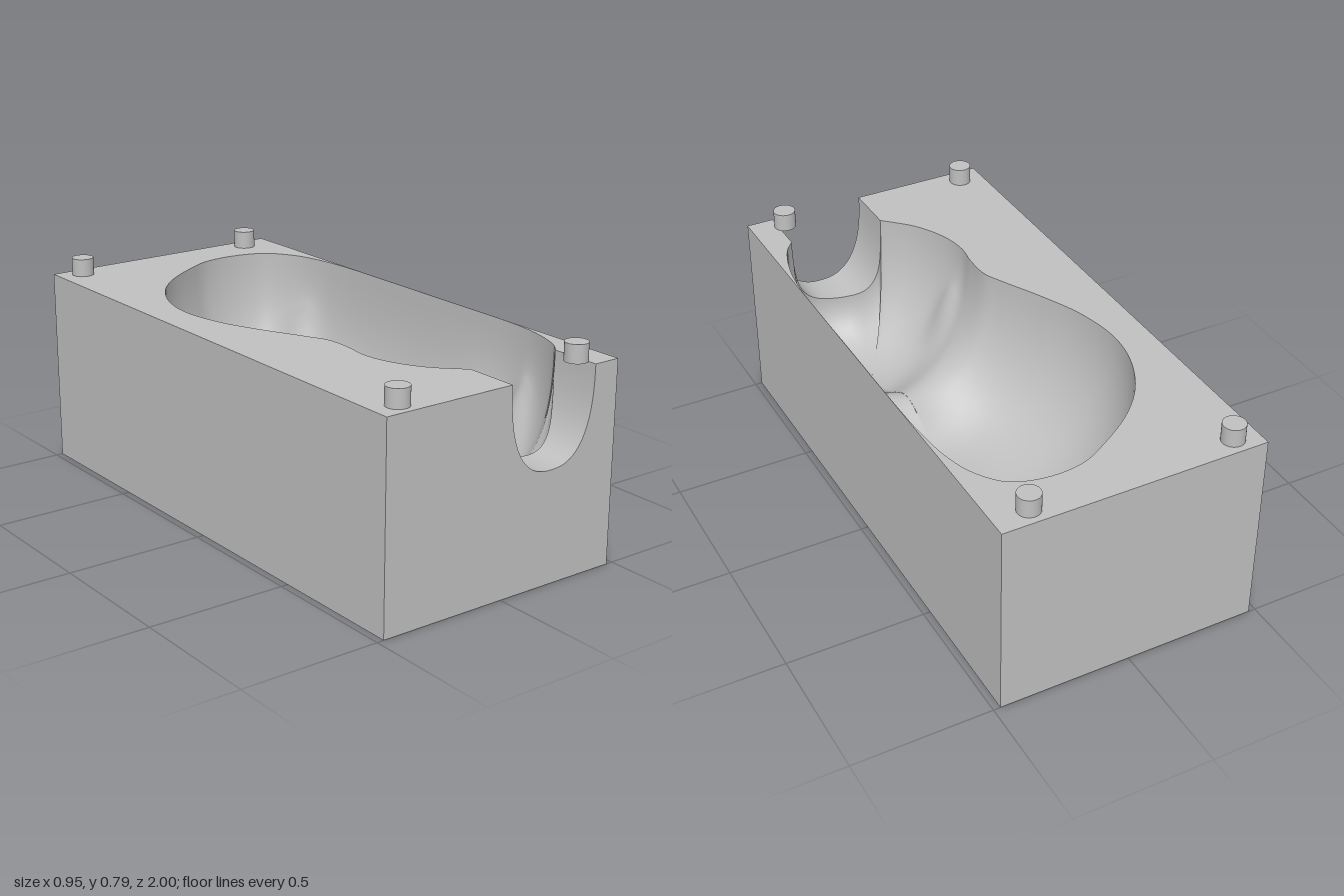
import * as THREE from 'three';
import { mergeVertices } from 'three/addons/utils/BufferGeometryUtils.js';

const W = 0.475, TOP = 0.72, L = 1;
const V = (x, y, z) => new THREE.Vector3(x, y, z);
const clamp = THREE.MathUtils.clamp;
const spline = (pts) => new THREE.CatmullRomCurve3(pts.map(([x, z]) => V(x, TOP, z)));

// Smooth skin over rows of points
function skin(rows) {
  const n = rows[0].length, pos = [], index = [];
  rows.forEach((row) => row.forEach((p) => pos.push(p.x, p.y, p.z)));
  for (let i = 0; i < rows.length - 1; i++) {
    for (let j = 0; j < n - 1; j++) {
      const a = i * n + j, d = a + n;
      index.push(a, d + 1, a + 1, a, d, d + 1);
    }
  }
  let g = new THREE.BufferGeometry();
  g.setAttribute('position', new THREE.Float32BufferAttribute(pos, 3));
  g.setIndex(index);
  g = mergeVertices(g);
  g.computeVertexNormals();
  return g;
}

// Height of the pouring channel at a given x
function channelY(x) {
  const u = clamp(Math.abs((x - 0.1975) / 0.1775), 0, 1);
  return TOP - 0.32 * Math.pow(1 - Math.pow(u, 2.5), 1 / 2.5);
}

// Rim of the cavity, from the channel's left edge round the back to its right edge
const rimCurve = spline([
  [0.02, 0.805], [-0.08, 0.7], [-0.14, 0.58], [-0.157, 0.48], [-0.147, 0.39],
  [-0.15, 0.29], [-0.18, 0.22], [-0.26, 0.06], [-0.325, -0.1], [-0.352, -0.27],
  [-0.33, -0.41], [-0.26, -0.555], [-0.155, -0.67], [0, -0.775], [0.08, -0.815],
  [0.17, -0.83], [0.27, -0.82], [0.35, -0.785], [0.42, -0.69], [0.453, -0.58],
  [0.468, -0.45], [0.473, -0.3], [0.473, 0.1], [0.472, 0.5], [0.45, 0.66],
  [0.41, 0.77], [0.375, 0.815],
]);
// Where the cavity breaks into the channel, right to left
const mouthCurve = spline([
  [0.375, 0.815], [0.33, 0.85], [0.27, 0.866], [0.16, 0.84],
  [0.08, 0.793], [0.045, 0.787], [0.02, 0.805],
]);

// Depth of the cavity floor along its spine: body, shallow neck, head
const floorY = (z) => 0.17 + 0.12 * Math.exp(-(((z - 0.27) / 0.13) ** 2))
  + 0.04 * THREE.MathUtils.smoothstep(z, 0.2, 0.5)
  + 0.04 * THREE.MathUtils.smoothstep(-z, 0.15, 0.5);

// Small swellings on the cavity walls: x, z, radius, height
const bumps = [[-0.1, 0.5, 0.06, 0.06], [0.41, 0.6, 0.06, 0.1], [0.39, -0.62, 0.08, 0.08]];

function cavityRow(p) {
  const t = (p.z + 0.83) / 1.695, sz = -0.5 + 1.1 * t, sx = 0.12 + 0.08 * t;
  const power = 2.2 + 0.4 * clamp((p.x - sx) / 0.3, 0, 1);
  const base = floorY(sz), row = [];
  for (let j = 0; j <= 40; j++) {
    const a = (j / 40) * Math.PI / 2;
    const s = Math.pow(Math.sin(a), 2 / power);
    const drop = j === 40 ? 0 : Math.pow(Math.cos(a), 2 / power);
    const x = sx + (p.x - sx) * s, z = sz + (p.z - sz) * s;
    let y = p.y + (base - p.y) * drop;
    for (const [bx, bz, r, h] of bumps) {
      y += h * Math.min(1, drop * 2) * Math.exp(-((x - bx) ** 2 + (z - bz) ** 2) / (r * r));
    }
    row.push(V(x, Math.min(y, TOP), z));
  }
  return row;
}

export function createModel() {
  const group = new THREE.Group();
  const grey = new THREE.MeshStandardMaterial({ color: 0xc0c0c0, side: THREE.DoubleSide });
  grey.name = 'light grey';
  const add = (name, geometry, x = 0, y = 0, z = 0) => {
    const m = new THREE.Mesh(geometry, grey);
    m.name = name;
    m.position.set(x, y, z);
    group.add(m);
    return m;
  };

  const rim = rimCurve.getPoints(220);
  rim.forEach((p) => { p.x = Math.min(p.x, 0.474); });
  const mouth = [];
  for (let i = 0; i <= 48; i++) {
    const p = mouthCurve.getPoint((1 - Math.cos((i / 48) * Math.PI)) / 2);
    p.y = i % 48 ? channelY(p.x) : TOP;
    mouth.push(p);
  }

  // Hollow and pouring channel
  add('cavity', skin([...rim, ...mouth.slice(1)].map(cavityRow)));
  add('channel', skin(mouth.map((p) => [p, V(p.x, p.y, L)])));

  // Top face, cut out around the rim and channel
  const topShape = new THREE.Shape([
    [-W, L], [0.02, L], ...rim.map((p) => [p.x, p.z]), [0.375, L], [W, L], [W, -L], [-W, -L],
  ].map(([x, z]) => new THREE.Vector2(x, -z)));
  add('topFace', new THREE.ShapeGeometry(topShape).rotateX(-Math.PI / 2), 0, TOP, 0);

  // Front face with the channel notch
  const frontShape = new THREE.Shape([
    [-W, 0], [W, 0], [W, TOP], ...mouth.map((p) => [p.x, p.y]), [-W, TOP],
  ].map(([x, y]) => new THREE.Vector2(x, y)));
  add('frontFace', new THREE.ShapeGeometry(frontShape), 0, 0, L);

  // Remaining plain faces of the block
  add('backFace', new THREE.PlaneGeometry(2 * W, TOP).rotateY(Math.PI), 0, TOP / 2, -L);
  add('bottomFace', new THREE.PlaneGeometry(2 * W, 2 * L).rotateX(Math.PI / 2));
  for (const [name, s] of [['leftFace', 1], ['rightFace', -1]]) {
    add(name, new THREE.PlaneGeometry(2 * L, TOP).rotateY(s * Math.PI / 2), s * W, TOP / 2, 0);
  }

  // Locating pegs
  const peg = new THREE.CylinderGeometry(0.04, 0.04, 0.065, 40);
  for (const x of [-0.384, 0.349]) {
    for (const z of [-0.937, 0.937]) add('peg', peg, x, TOP + 0.0325, z);
  }
  return group;
}
